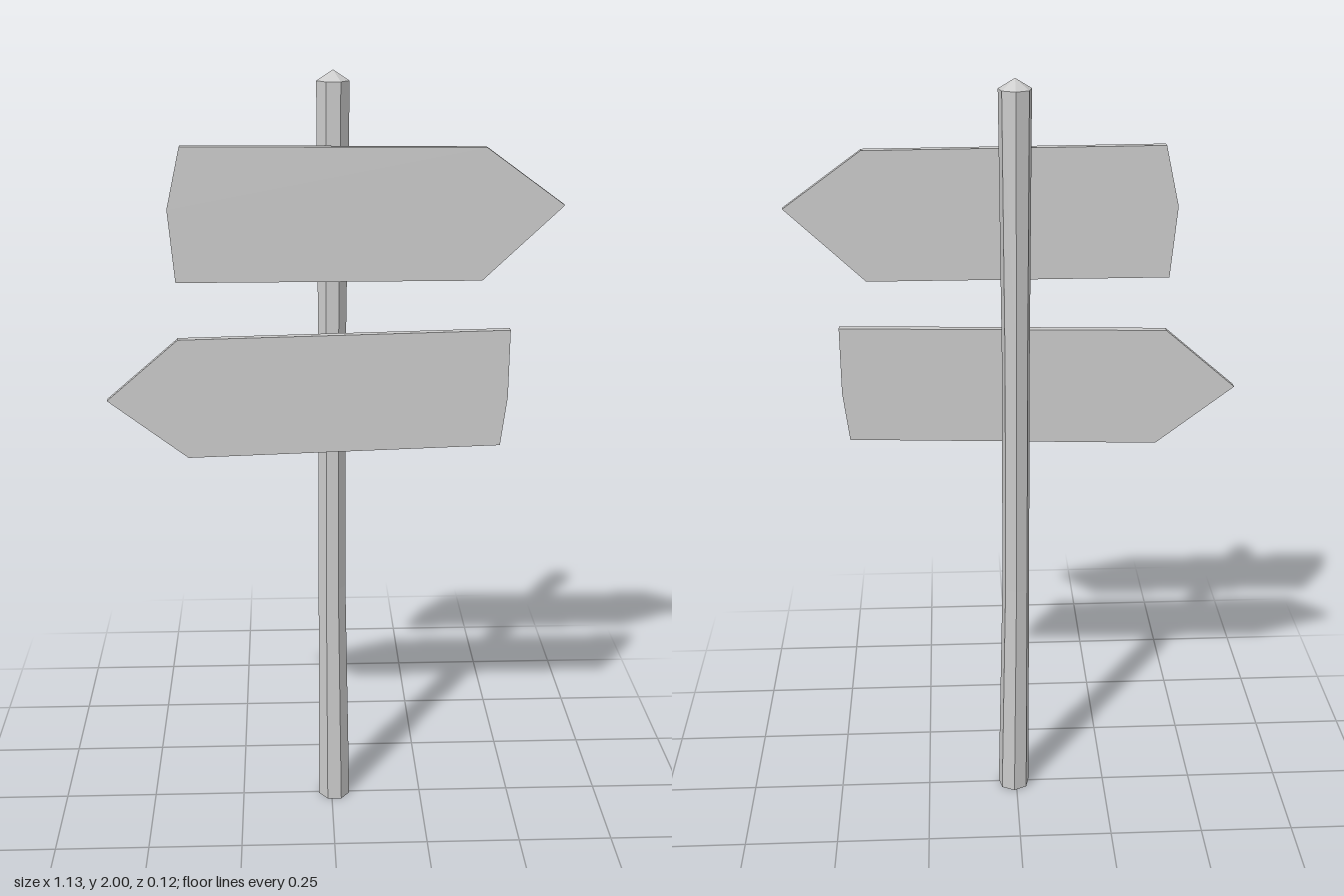
import * as THREE from 'three';

const material = new THREE.MeshStandardMaterial({ color: 0xcccccc, flatShading: true });

// Seven-sided, slightly crooked post: each ring is [radius, y, centre x, centre z]
function createPost() {
  const rings = [
    [0, 0, 0.007, -0.002],
    [0.044, 0, 0.007, -0.003],
    [0.037, 0.65, 0.001, -0.008],
    [0.036, 1.3, 0.001, -0.014],
    [0.041, 1.975, 0.003, -0.015],
    [0, 2, 0.003, -0.014],
  ];
  const profile = rings.map(([r, y]) => new THREE.Vector2(r, y));
  const geometry = new THREE.LatheGeometry(profile, 7, Math.PI / 7);
  const pos = geometry.attributes.position;
  for (let i = 0; i < pos.count; i++) {
    const [, , cx, cz] = rings[i % rings.length];
    pos.setX(i, pos.getX(i) + cx);
    pos.setZ(i, pos.getZ(i) + cz);
  }
  const post = new THREE.Mesh(geometry, material);
  post.name = 'post';
  return post;
}

// Flat arrow board with its back face at z
function createBoard(name, outline, z) {
  const shape = new THREE.Shape(outline.map(([x, y]) => new THREE.Vector2(x, y)));
  const geometry = new THREE.ExtrudeGeometry(shape, { depth: 0.02, bevelEnabled: false });
  const board = new THREE.Mesh(geometry, material);
  board.position.z = z;
  board.name = name;
  return board;
}

export function createModel() {
  const group = new THREE.Group();
  group.name = 'signpost';
  group.add(
    createPost(),
    createBoard('upperArrowBoard', [
      [-0.4, 1.68], [-0.385, 1.5], [0.37, 1.5],
      [0.565, 1.685], [0.37, 1.825], [-0.365, 1.83],
    ], 0.031),
    createBoard('lowerArrowBoard', [
      [-0.568, 1.2], [-0.368, 1.045], [0.43, 1.07],
      [0.445, 1.2], [0.445, 1.375], [-0.385, 1.357],
    ], 0.039),
  );
  return group;
}
